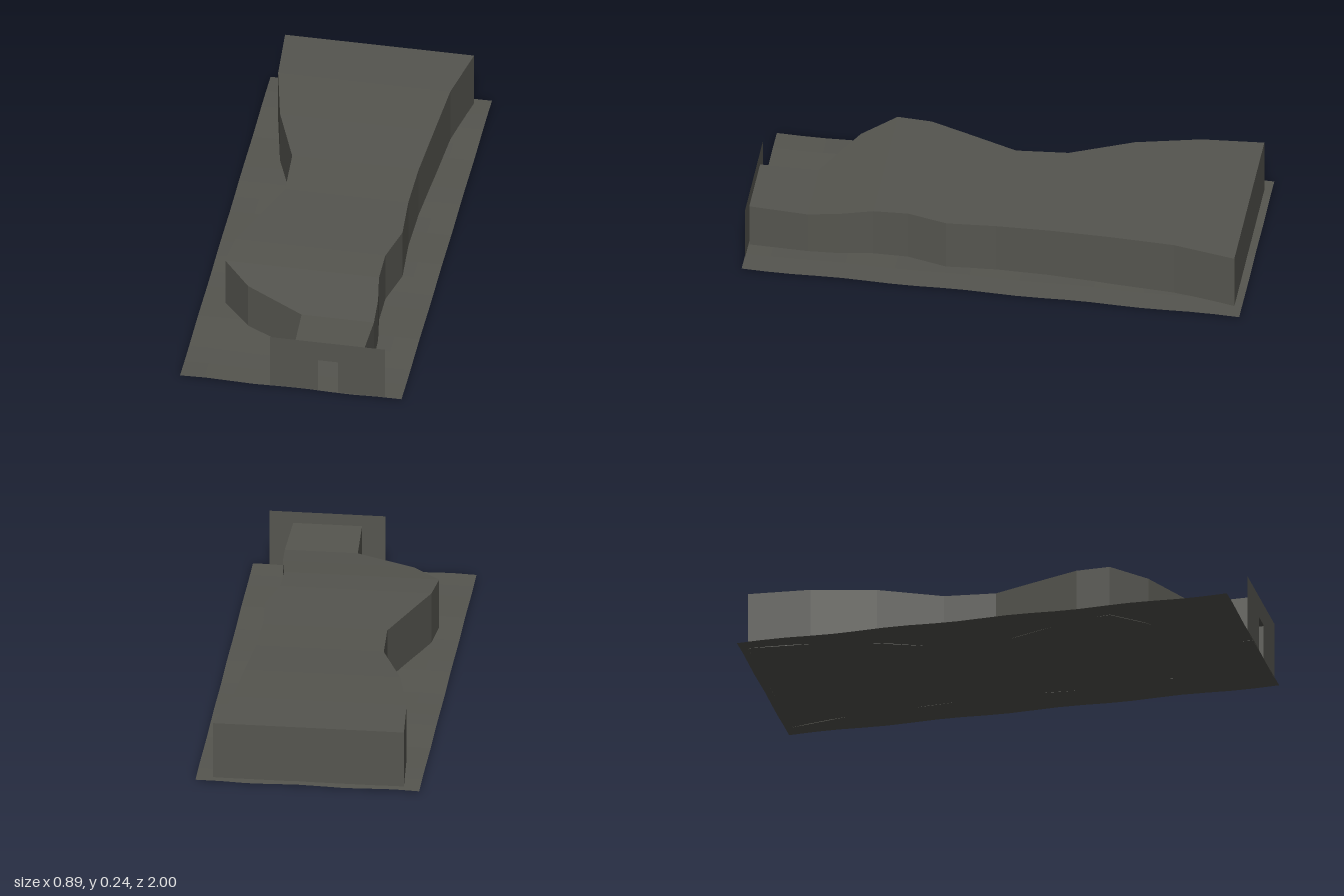
import * as THREE from 'three';

const BASE = 0.006;

// Cross-sections from back to front: z, right wall x, left wall x, roof height
const SECTIONS = [
  [-0.97, -0.383, 0.38, 0.244],
  [-0.72, -0.365, 0.33, 0.244],
  [-0.46, -0.31, 0.313, 0.24],
  [-0.21, -0.215, 0.295, 0.229],
  [0, -0.205, 0.292, 0.223],
  [0.2, -0.28, 0.305, 0.223],
  [0.36, -0.34, 0.265, 0.222],
  [0.5, -0.355, 0.265, 0.217],
  [0.63, -0.24, 0.285, 0.203],
  [0.76, 0, 0.292, 0.19],
  [0.995, 0.01, 0.285, 0.197],
];

// Flat-shaded surface from quads with counter-clockwise corners
function quadSurface(quads) {
  const points = quads.flatMap(([a, b, c, d]) => [a, b, c, a, c, d]);
  const geometry = new THREE.BufferGeometry();
  geometry.setAttribute('position', new THREE.Float32BufferAttribute(points.flat(), 3));
  geometry.computeVertexNormals();
  return geometry;
}

export function createModel() {
  const group = new THREE.Group();
  const stone = new THREE.MeshStandardMaterial({ color: 0x55554f, side: THREE.DoubleSide, flatShading: true });
  stone.name = 'dark grey stone';

  const add = (name, geometry) => {
    const mesh = new THREE.Mesh(geometry, stone);
    mesh.name = name;
    group.add(mesh);
    return mesh;
  };

  // Thin, very slightly uneven ground sheet
  const ground = new THREE.PlaneGeometry(0.894, 2, 9, 20).rotateX(-Math.PI / 2);
  const p = ground.attributes.position;
  for (let i = 0; i < p.count; i++) {
    p.setY(i, 0.005 + 0.0025 * Math.sin(p.getX(i) * 17 + 1) + 0.0025 * Math.sin(p.getZ(i) * 13));
  }
  add('ground', ground);

  // Each section: right foot, right eave, left eave, left foot
  const rings = SECTIONS.map(([z, r, l, h]) => [[r, BASE, z], [r, h, z], [l, h, z], [l, BASE, z]]);
  const strip = (k) => rings.slice(1).map((front, i) => {
    const back = rings[i];
    return [back[k], front[k], front[k + 1], back[k + 1]];
  });
  add('rightWall', quadSurface(strip(0)));
  add('roof', quadSurface(strip(1)));
  add('leftWall', quadSurface(strip(2)));
  add('backWall', quadSurface([rings[0]]));

  // Front screen wall with a doorway cut into its foot
  const screen = new THREE.Shape([
    [-0.083, BASE], [0.11, BASE], [0.11, 0.155], [0.19, 0.155],
    [0.19, BASE], [0.38, BASE], [0.38, 0.244], [-0.083, 0.244],
  ].map(([x, y]) => new THREE.Vector2(x, y)));
  add('frontWall', new THREE.ShapeGeometry(screen)).position.z = 0.998;

  return group;
}
